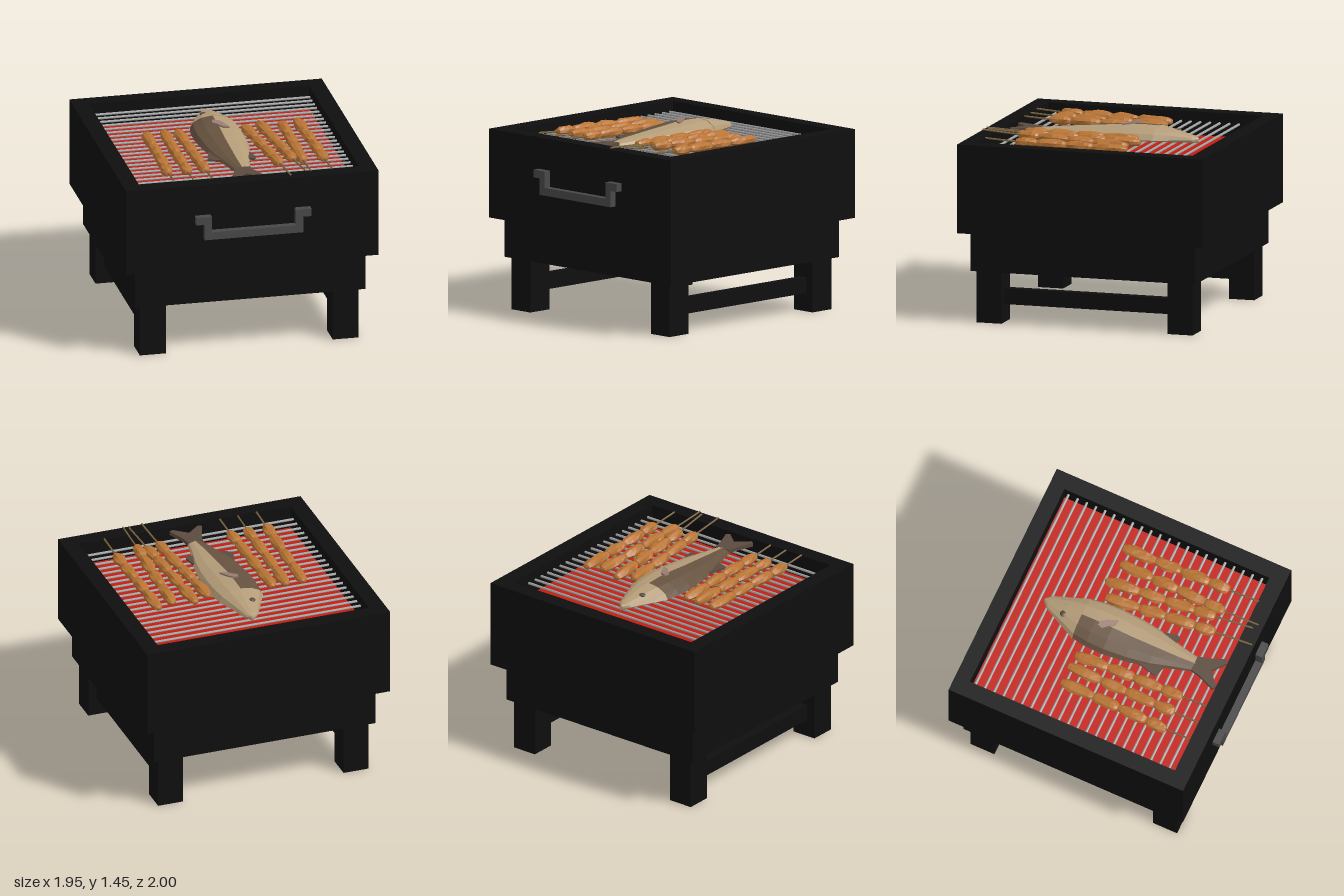
import * as THREE from 'three';

const mat = (color, opts = {}) => {
  const m = new THREE.MeshStandardMaterial({ color, flatShading: true, ...opts });
  return m;
};
const BLACK = mat(0x0e0e0e), STEEL = mat(0xa0a0a0), HANDLE = mat(0x484848), EMBER = mat(0xc41c10);
const MEAT = mat(0xb87434), WOOD = mat(0x7a6440);
const PALE = mat(0xb49c78), DARK = mat(0x66523f), TAIL = mat(0x5c4a3e, { side: THREE.DoubleSide });
const FIN = mat(0x987c70, { side: THREE.DoubleSide }), EYE = mat(0x5a4a3c);

const GRATE_Y = 1.31;

function add(parent, name, geometry, material, x = 0, y = 0, z = 0) {
  const mesh = new THREE.Mesh(geometry, material);
  mesh.name = name;
  mesh.position.set(x, y, z);
  parent.add(mesh);
  return mesh;
}

// Box given by its limits on each axis
function block(parent, name, material, [x0, x1], [y0, y1], [z0, z1]) {
  return add(parent, name, new THREE.BoxGeometry(x1 - x0, y1 - y0, z1 - z0), material,
    (x0 + x1) / 2, (y0 + y1) / 2, (z0 + z1) / 2);
}

const polygon = pts => new THREE.Shape(pts.map(p => new THREE.Vector2(...p)));
const rect = (x0, x1, y0, y1) => [[x0, y0], [x1, y0], [x1, y1], [x0, y1]];

// Thin slab from an outline in (x, z), lying flat from y = 0 upward
function slab(pts, thickness) {
  const shape = polygon(pts.map(([x, z]) => [x, -z]));
  return new THREE.ExtrudeGeometry(shape, { depth: thickness, bevelEnabled: false }).rotateX(-Math.PI / 2);
}

function buildGrill() {
  const grill = new THREE.Group();
  grill.name = 'grill';

  // Upper tray: open frame with an ember bed inside
  const frame = polygon(rect(-0.975, 0.975, -0.945, 1));
  frame.holes.push(polygon(rect(-0.85, 0.85, -0.82, 0.88)));
  const tray = new THREE.ExtrudeGeometry(frame, { depth: 0.68, bevelEnabled: false }).rotateX(-Math.PI / 2);
  add(grill, 'tray', tray, BLACK, 0, 0.7, 0);
  block(grill, 'emberBed', EMBER, [-0.85, 0.85], [0.75, 1.2], [-0.88, 0.82]);
  block(grill, 'lowerBox', BLACK, [-0.89, 0.89], [0.4, 0.71], [-0.915, 0.865]);

  // Legs and side rails
  for (const s of [-1, 1]) {
    for (const z of [0.735, -0.78]) {
      add(grill, 'leg', new THREE.BoxGeometry(0.2, 0.41, 0.2), BLACK, s * 0.745, 0.205, z);
    }
    add(grill, 'sideRail', new THREE.BoxGeometry(0.07, 0.12, 1.34), BLACK, s * 0.745, 0.2, -0.0225);
  }

  // Grate bars
  for (let i = 0; i < 22; i++) {
    const bar = new THREE.CylinderGeometry(0.01, 0.01, 1.71, 8).rotateZ(Math.PI / 2);
    add(grill, 'grateBar', bar, STEEL, 0, GRATE_Y - 0.01, -0.845 + i * 0.0765);
  }

  // Front handle, mirrored outline
  const half = [[0.445, 1.14], [0.325, 1.14], [0.325, 1.015]];
  const low = [[0.38, 0.955], [0.38, 1.08], [0.445, 1.08]];
  const flip = pts => pts.map(([x, y]) => [-x, y]).reverse();
  const outline = [...half, ...flip(half), ...flip(low), ...low];
  add(grill, 'handle', new THREE.ExtrudeGeometry(polygon(outline), { depth: 0.06, bevelEnabled: false }),
    HANDLE, 0, 0, 0.94);
  return grill;
}

// Lumpy piece of meat, long along z
function meatPiece(width, height, length, seed) {
  const g = new THREE.SphereGeometry(1, 9, 8).rotateX(Math.PI / 2);
  const p = g.attributes.position;
  for (let i = 0; i < p.count; i++) {
    const x = p.getX(i), y = p.getY(i), z = p.getZ(i);
    const bump = 1 + 0.08 * Math.sin(5 * x + 3 * z + seed) + 0.08 * Math.sin(6 * y - 4 * z + seed * 2.3);
    const fill = Math.pow(Math.max(1 - z * z, 0), -0.22 * (Math.abs(z) < 0.999 ? 1 : 0));
    p.setXYZ(i, x * fill * bump * width, y * fill * bump * height, z * length);
  }
  g.computeVertexNormals();
  return g;
}

// Skewer from its far meat end, through the near meat end, to the stick tip
function buildSkewer([xa, za, xb, zb, tipX, tipZ, rise], index) {
  const skewer = new THREE.Group();
  skewer.name = 'skewer';
  const a = new THREE.Vector3(xa, 1.35, za), b = new THREE.Vector3(xb, 1.35 + rise, zb);
  const tip = new THREE.Vector3(tipX, 1.357 + rise * 1.4, tipZ);
  const cuts = [0, 0.31, 0.55, 0.82, 1.01];
  for (let i = 0; i < 4; i++) {
    const mid = (cuts[i] + cuts[i + 1]) / 2, len = (cuts[i + 1] - cuts[i]) * a.distanceTo(b) / 2;
    const piece = add(skewer, 'meatPiece', meatPiece(0.046, 0.037, len * 1.06, index * 4 + i * 1.7), MEAT);
    piece.position.lerpVectors(a, b, mid);
    piece.lookAt(b.clone().multiplyScalar(2).sub(a));
  }
  const path = new THREE.CatmullRomCurve3([a, b, tip]);
  add(skewer, 'stick', new THREE.TubeGeometry(path, 6, 0.007, 6), WOOD);
  return skewer;
}

// Fish cross-sections: z, left x, right x, ridge x, top y
const HEAD = [
  [-0.65, -0.015, 0.01, 0, 1.35], [-0.61, -0.06, 0.05, 0, 1.365],
  [-0.47, -0.13, 0.1, 0, 1.4], [-0.335, -0.2, 0.152, -0.01, 1.425]];
const BODY = [
  [-0.335, -0.195, 0.148, -0.02, 1.423], [-0.22, -0.214, 0.168, -0.02, 1.426],
  [-0.08, -0.218, 0.174, -0.02, 1.422], [0.1, -0.2, 0.162, -0.02, 1.405],
  [0.28, -0.165, 0.135, -0.015, 1.39], [0.45, -0.105, 0.09, -0.01, 1.375], [0.6, -0.06, 0.06, 0, 1.36]];

// Skin through the sections, between two angles around the ring
function loft(sections, from, to, steps) {
  const pos = [], index = [];
  sections.forEach(([z, xl, xr, ridge, top], i) => {
    for (let j = 0; j <= steps; j++) {
      const t = from + (to - from) * j / steps, c = Math.cos(t), s = Math.sin(t);
      pos.push(ridge + c * (c > 0 ? xr - ridge : ridge - xl), 1.335 + s * (s > 0 ? top - 1.335 : 0.025), z);
      if (i && j) {
        const d = i * (steps + 1) + j, b = d - steps - 1;
        index.push(b - 1, b, d - 1, b, d, d - 1);
      }
    }
  });
  const g = new THREE.BufferGeometry();
  g.setAttribute('position', new THREE.Float32BufferAttribute(pos, 3));
  g.setIndex(index);
  g.computeVertexNormals();
  return g;
}

function buildFish() {
  const fish = new THREE.Group();
  fish.name = 'fish';
  const H = Math.PI / 2;
  add(fish, 'fishHead', loft([[-0.655, 0, 0, 0, 1.337], ...HEAD, [-0.325, -0.02, 0, -0.01, 1.34]], -H, 3 * H, 12), PALE);
  add(fish, 'fishBelly', loft(BODY, -H, H, 6), PALE);
  add(fish, 'fishBack', loft(BODY, H, 3 * H, 6), DARK);

  // Tail, side fins and top fin
  add(fish, 'tail', slab([[-0.06, 0.59], [0.06, 0.59], [0.075, 0.66], [0.13, 0.8],
    [0.1, 0.815], [0, 0.73], [-0.1, 0.815], [-0.13, 0.8], [-0.075, 0.66]], 0.03), TAIL, 0, 1.33, 0);
  add(fish, 'leftFin', slab([[0.13, 0.27], [0.155, 0.38], [0.14, 0.41], [0.07, 0.39]], 0.015), TAIL, 0, 1.335, 0);
  add(fish, 'rightFin', slab([[-0.17, 0.19], [-0.215, 0.36], [-0.11, 0.4], [-0.1, 0.3]], 0.015), TAIL, 0, 1.335, 0);
  const fin = add(fish, 'topFin', slab([[-0.04, -0.07], [0, -0.06], [0.025, -0.03], [0.065, 0.06],
    [0.02, 0.05], [-0.02, 0], [-0.05, -0.03]], 0.012), FIN, -0.015, 1.428, -0.12);
  fin.rotation.x = 0.12;
  add(fish, 'eye', new THREE.SphereGeometry(0.026, 10, 6).scale(1, 0.5, 1), EYE, -0.062, 1.387, -0.47);
  return fish;
}

export function createModel() {
  const model = new THREE.Group();
  model.name = 'tabletopGrill';
  model.add(buildGrill(), buildFish());
  const skewers = [
    [-0.55, -0.26, -0.575, 0.61, -0.575, 0.82, 0.018],
    [-0.415, -0.265, -0.425, 0.61, -0.425, 0.82, 0.015],
    [-0.31, -0.255, -0.285, 0.61, -0.28, 0.82, 0.015],
    [0.205, -0.24, 0.285, 0.62, 0.305, 0.93, 0.025],
    [0.325, -0.295, 0.395, 0.57, 0.425, 0.88, 0.035],
    [0.495, -0.25, 0.465, 0.615, 0.465, 0.91, 0.035],
    [0.62, -0.285, 0.64, 0.575, 0.645, 0.83, 0.015]];
  skewers.forEach((s, i) => model.add(buildSkewer(s, i)));
  return model;
}
